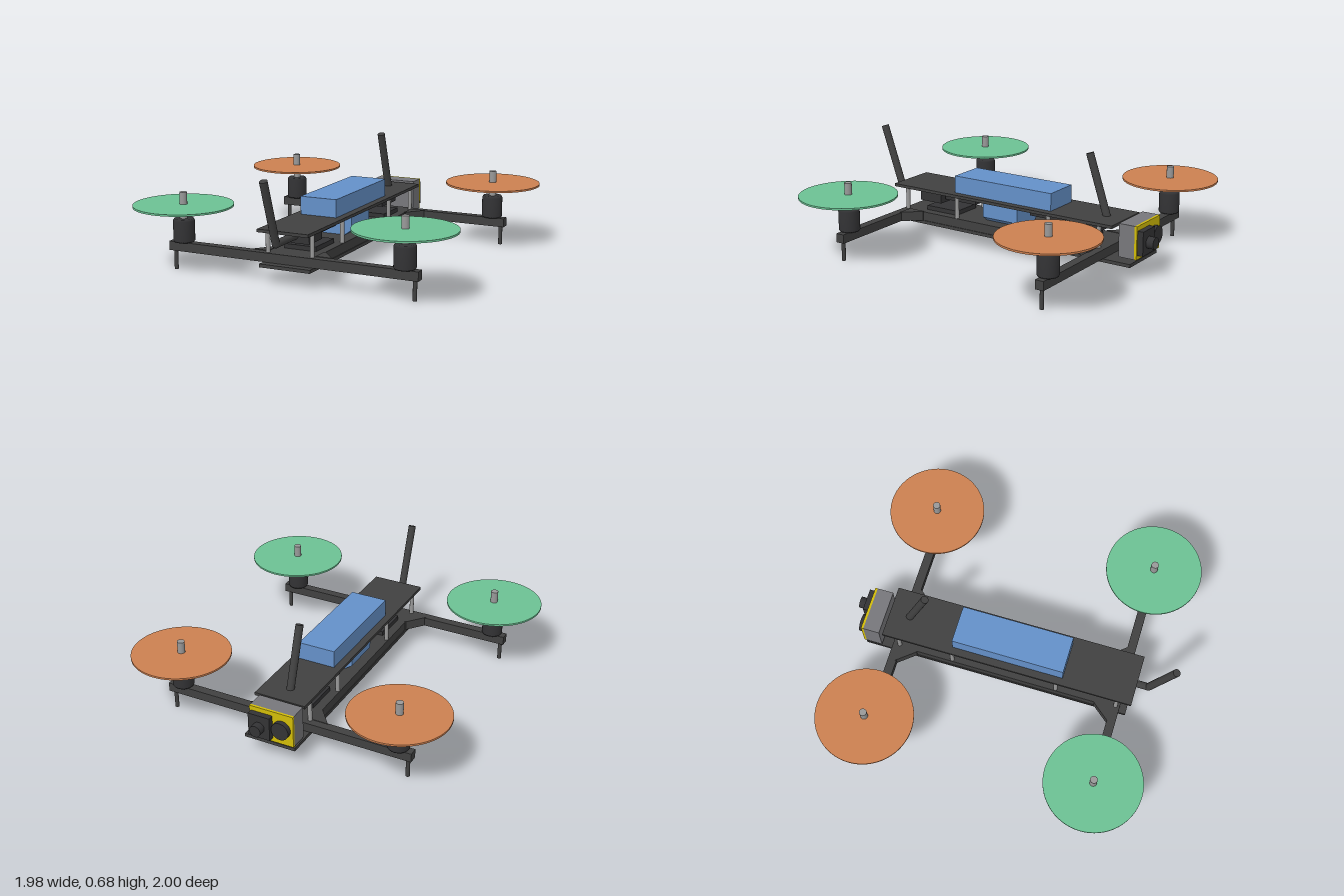
import * as THREE from 'three';

const mat = (color) => new THREE.MeshStandardMaterial({ color });
const dark = mat(0x404040), darker = mat(0x333335), metal = mat(0x999999), grey = mat(0x77777b);
const blue = mat(0x6490c8), green = mat(0x6cc193), orange = mat(0xcc8050), yellow = mat(0xd2bc08);

export function createModel() {
  const drone = new THREE.Group();
  drone.name = 'quadcopter';

  const add = (name, geometry, material) => {
    const mesh = new THREE.Mesh(geometry, material);
    mesh.name = name;
    drone.add(mesh);
    return mesh;
  };
  // Box given by its limits on each axis
  const box = (name, [x0, x1], [y0, y1], [z0, z1], material) =>
    add(name, new THREE.BoxGeometry(x1 - x0, y1 - y0, z1 - z0), material)
      .position.set((x0 + x1) / 2, (y0 + y1) / 2, (z0 + z1) / 2);
  // Cylinder running between two points
  const rod = (name, from, to, radius, material, sides = 24) => {
    const a = new THREE.Vector3(...from), b = new THREE.Vector3(...to);
    const mesh = add(name, new THREE.CylinderGeometry(radius, radius, a.distanceTo(b), sides), material);
    mesh.position.copy(a).lerp(b, 0.5);
    mesh.quaternion.setFromUnitVectors(new THREE.Vector3(0, 1, 0), b.sub(a).normalize());
  };

  // Frame plates and the solid spine between the arms
  box('bottomPlate', [-0.16, 0.16], [0.095, 0.115], [-0.905, 0.76], dark);
  box('spine', [-0.155, 0.155], [0.115, 0.17], [-0.72, 0.705], dark);
  box('topPlate', [-0.16, 0.16], [0.302, 0.32], [-0.785, 0.78], dark);

  // Arms with corner gussets, motors, propeller discs and legs
  for (const [z, discMaterial, inward] of [[0.69, green, -1], [-0.705, orange, 1]]) {
    box('arm', [-0.785, 0.785], [0.116, 0.17], [z - 0.027, z + 0.027], dark);
    for (const side of [-1, 1]) {
      const shape = new THREE.Shape([[0.15, 0], [0.25, 0], [0.16, 0.11], [0.15, 0.11]]
        .map(([x, d]) => new THREE.Vector2(side * x, -(z + inward * (0.02 + d)))));
      const gusset = add('gusset', new THREE.ExtrudeGeometry(shape, { depth: 0.058, bevelEnabled: false }), dark);
      gusset.rotation.x = -Math.PI / 2;
      gusset.position.y = 0.115;

      const x = side * 0.697;
      const profile = [[0, 0.172], [0.058, 0.172], [0.063, 0.18], [0.063, 0.298], [0.056, 0.31], [0, 0.31]];
      add('motor', new THREE.LatheGeometry(profile.map((p) => new THREE.Vector2(...p)), 32), darker)
        .position.set(x, 0, z);
      rod('motorShaft', [x, 0.3, z], [x, 0.465, z], 0.022, metal);
      rod('propellerDisc', [x, 0.383, z], [x, 0.394, z], 0.292, discMaterial, 64);
      rod('leg', [side * 0.756, 0, z], [side * 0.756, 0.13, z], 0.012, dark, 16);
    }
  }

  // Metal standoffs between the plates
  for (const x of [-0.14, 0.14])
    for (const z of [-0.69, -0.35, 0.31, 0.69])
      rod('standoff', [x, 0.165, z], [x, 0.305, z], 0.013, metal, 16);

  // Battery on top and chamfered block below the top plate
  box('battery', [-0.115, 0.115], [0.32, 0.427], [-0.35, 0.342], blue);
  const section = new THREE.Shape([[-0.07, 0.17], [0.07, 0.17], [0.113, 0.2], [0.113, 0.302], [-0.113, 0.302], [-0.113, 0.2]]
    .map((p) => new THREE.Vector2(...p)));
  add('innerBlock', new THREE.ExtrudeGeometry(section, { depth: 0.248, bevelEnabled: false }), blue).position.z = -0.113;

  // Electronics between the plates
  box('receiver', [-0.03, 0.09], [0.222, 0.302], [0.47, 0.63], darker);
  box('frontModule', [-0.06, 0.06], [0.246, 0.302], [0.23, 0.46], darker);
  box('rearModule', [-0.06, 0.06], [0.25, 0.302], [-0.4, -0.17], darker);
  box('transmitter', [-0.06, 0.06], [0.228, 0.302], [-0.64, -0.43], darker);
  box('frontBoard', [-0.1, 0.1], [0.17, 0.197], [0.34, 0.57], darker);
  box('rearBoard', [-0.1, 0.1], [0.17, 0.197], [-0.58, -0.37], darker);

  // Tilted antennas, the front one on a horizontal stub
  rod('frontAntennaStub', [0, 0.266, 0.62], [0, 0.266, 0.85], 0.022, dark);
  add('frontAntennaJoint', new THREE.SphereGeometry(0.023, 20, 14), dark).position.set(0, 0.266, 0.85);
  rod('frontAntenna', [0, 0.266, 0.85], [0, 0.638, 0.98], 0.023, dark);
  rod('rearAntenna', [0, 0.3, -0.665], [0, 0.675, -0.54], 0.023, dark);

  // Rear camera: housing, yellow face, round lens and square mount with barrel
  box('cameraHousing', [-0.16, 0.115], [0.13, 0.328], [-0.905, -0.805], grey);
  box('cameraFace', [-0.16, 0.115], [0.13, 0.328], [-0.92, -0.905], yellow);
  rod('roundLens', [-0.09, 0.23, -0.915], [-0.09, 0.23, -0.948], 0.054, darker, 32);
  box('lensMount', [-0.03, 0.105], [0.155, 0.3], [-0.955, -0.915], darker);
  rod('lensBarrel', [0.037, 0.223, -0.95], [0.037, 0.223, -1], 0.035, darker, 32);

  return drone;
}
